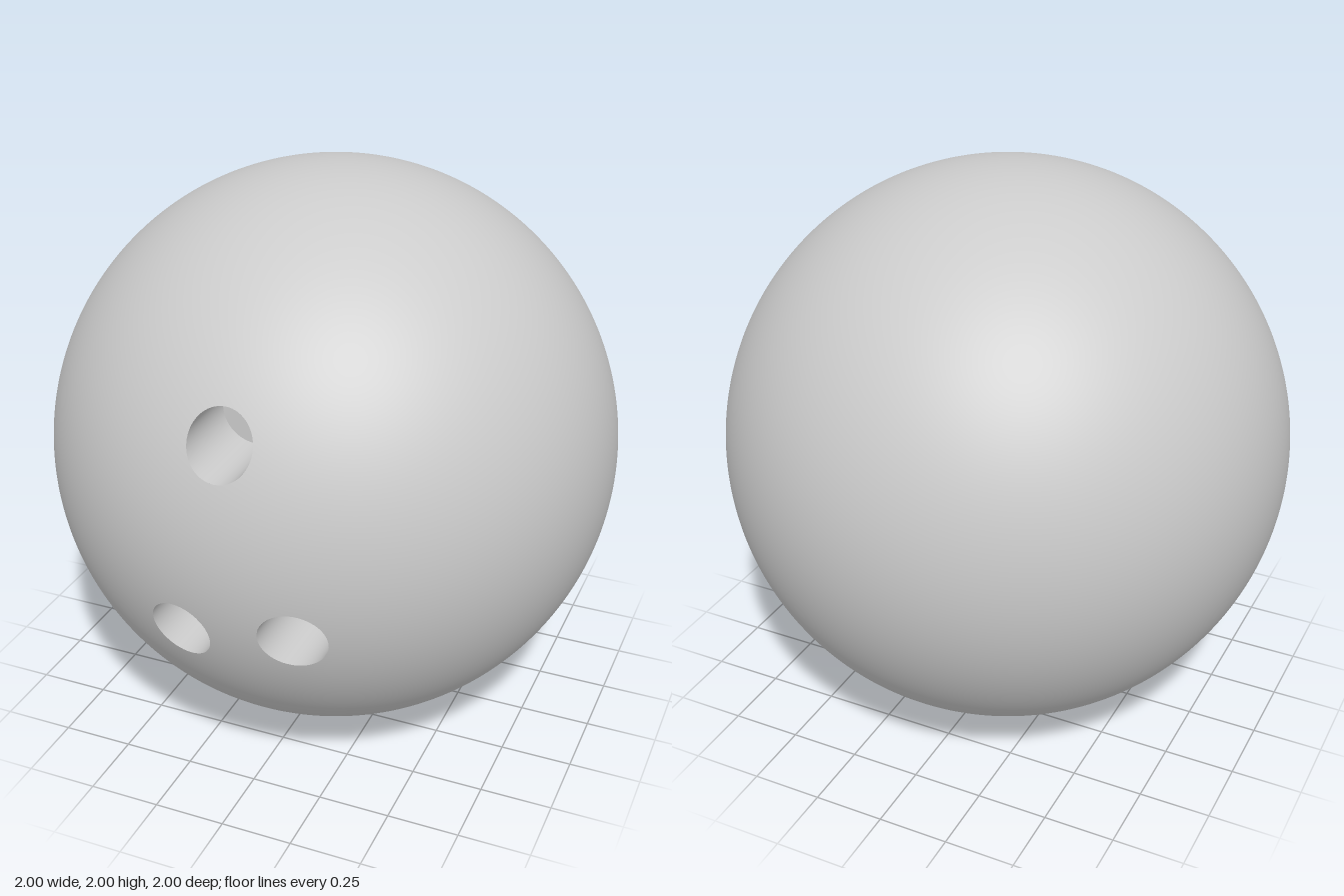
import * as THREE from 'three';

const HOLE_RADIUS = 0.11;
const FLOOR_Z = 0.665;
// Hole axes run along z; x and y are measured from the ball's centre
const HOLES = [
  { name: 'thumbHole', x: 0, y: 0.39 },
  { name: 'rightFingerHole', x: -0.15, y: -0.29 },
  { name: 'leftFingerHole', x: 0.24, y: -0.24 },
];

const sphereZ = (x, y) => Math.sqrt(1 - x * x - y * y);

// Unit sphere with round openings: points inside a hole slide out to its rim,
// and triangles lying wholly inside are dropped
function createShell() {
  const source = new THREE.IcosahedronGeometry(1, 70).getAttribute('position');
  const kept = [];
  const p = new THREE.Vector3();
  for (let i = 0; i < source.count; i += 3) {
    const corners = [];
    let inside = 0;
    for (let k = 0; k < 3; k++) {
      p.fromBufferAttribute(source, i + k);
      for (const hole of HOLES) {
        const dx = p.x - hole.x, dy = p.y - hole.y;
        if (p.z < 0 || Math.hypot(dx, dy) >= HOLE_RADIUS) continue;
        const angle = Math.atan2(dy, dx);
        p.x = hole.x + HOLE_RADIUS * Math.cos(angle);
        p.y = hole.y + HOLE_RADIUS * Math.sin(angle);
        p.z = sphereZ(p.x, p.y);
        inside++;
        break;
      }
      corners.push(p.x, p.y, p.z);
    }
    if (inside < 3) kept.push(...corners);
  }
  const geometry = new THREE.BufferGeometry();
  geometry.setAttribute('position', new THREE.Float32BufferAttribute(kept, 3));
  // On a unit sphere the normal equals the position
  geometry.setAttribute('normal', new THREE.Float32BufferAttribute(kept, 3));
  return geometry;
}

// Inward-facing wall whose upper edge follows the ball's surface
function createWall(hole) {
  const profile = [new THREE.Vector2(HOLE_RADIUS, 1), new THREE.Vector2(HOLE_RADIUS, FLOOR_Z)];
  const geometry = new THREE.LatheGeometry(profile, 64);
  geometry.rotateX(Math.PI / 2).translate(hole.x, hole.y, 0);
  const pos = geometry.getAttribute('position');
  for (let i = 0; i < pos.count; i++) {
    if (pos.getZ(i) > 0.9) pos.setZ(i, sphereZ(pos.getX(i), pos.getY(i)));
  }
  return geometry;
}

export function createModel() {
  const model = new THREE.Group();
  model.name = 'bowlingBall';
  const material = new THREE.MeshStandardMaterial({ color: 0xcccccc });
  const add = (parent, name, geometry) => {
    const mesh = new THREE.Mesh(geometry, material);
    mesh.name = name;
    parent.add(mesh);
  };

  const ball = new THREE.Group();
  ball.name = 'ball';
  ball.position.y = 1;
  model.add(ball);
  add(ball, 'shell', createShell());

  // Drilled holes with flat floors
  for (const hole of HOLES) {
    const group = new THREE.Group();
    group.name = hole.name;
    add(group, 'holeWall', createWall(hole));
    add(group, 'holeFloor', new THREE.CircleGeometry(HOLE_RADIUS, 64).translate(hole.x, hole.y, FLOOR_Z));
    ball.add(group);
  }
  return model;
}
